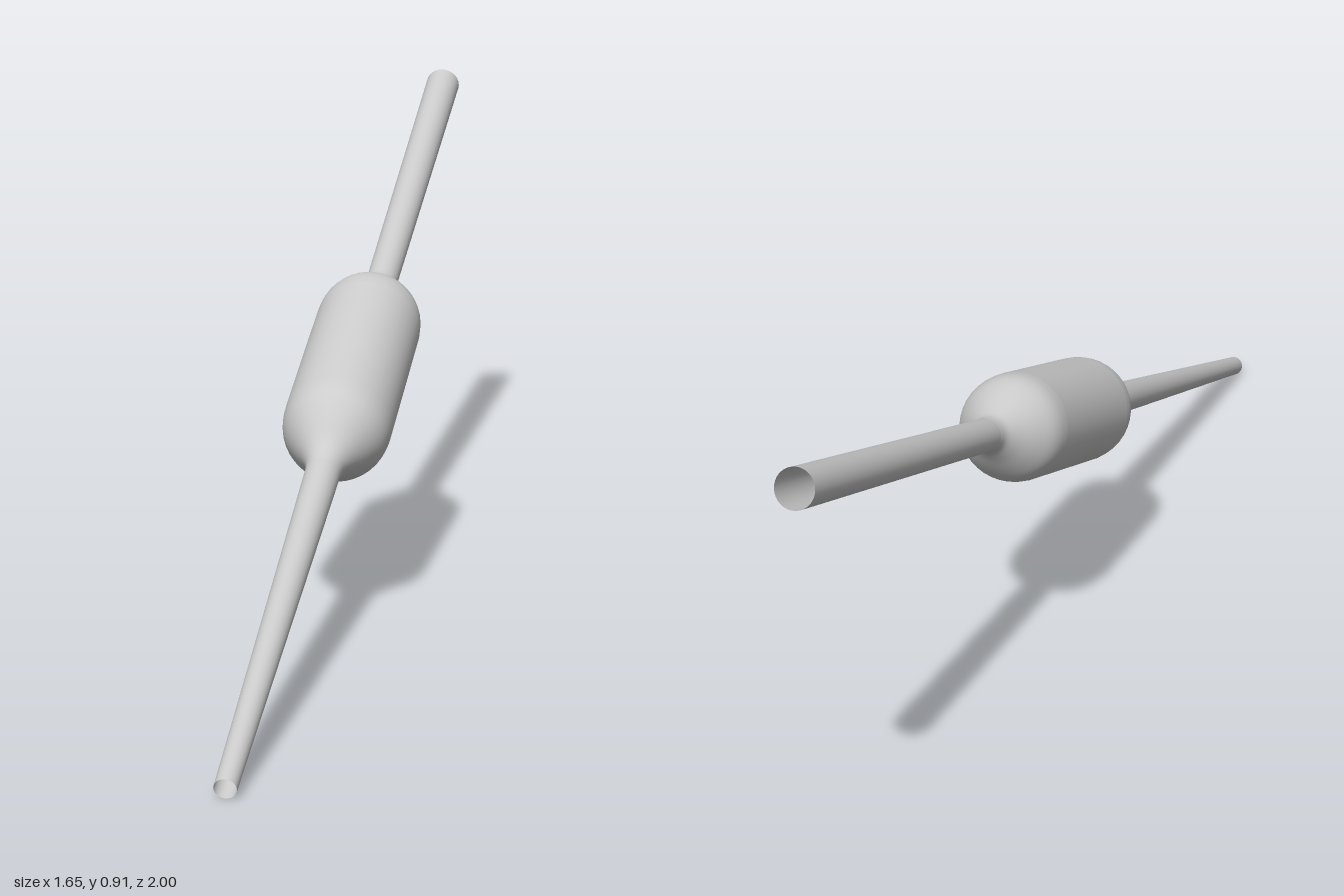
import * as THREE from 'three';

export function createModel() {
  const model = new THREE.Group();
  model.name = 'bulbedTube';
  const material = new THREE.MeshStandardMaterial({ color: 0xcccccc, side: THREE.DoubleSide });

  // Centre line of the whole tube
  const lowEnd = new THREE.Vector3(-0.81, 0.02, 0.986);
  const highEnd = new THREE.Vector3(0.797, 0.875, -0.975);
  const axis = highEnd.clone().sub(lowEnd);
  const half = axis.length() / 2;
  model.position.copy(lowEnd).add(highEnd).multiplyScalar(0.5);
  model.quaternion.setFromUnitVectors(new THREE.Vector3(0, 1, 0), axis.normalize());

  const addLathe = (name, points) => {
    const mesh = new THREE.Mesh(new THREE.LatheGeometry(points, 40), material);
    mesh.name = name;
    model.add(mesh);
  };
  const p = (radius, along) => new THREE.Vector2(radius, along);

  // Bulb: straight barrel between two S-curved shoulders
  const middle = 0.03, neckAt = 0.37;
  const shoulder = (neckRadius, side) => new THREE.SplineCurve([
    [neckRadius, neckAt], [neckRadius + 0.004, 0.345], [0.053, 0.318], [0.078, 0.283],
    [0.098, 0.25], [0.107, 0.222], [0.11, 0.19],
  ].map(([r, d]) => p(r, middle + side * d))).getPoints(24);
  addLathe('bulb', [...shoulder(0.035, -1), ...shoulder(0.033, 1).reverse()]);

  // Open stems, tapering from the necks
  addLathe('lowerStem', [p(0.021, -half), p(0.035, middle - neckAt)]);
  addLathe('upperStem', [p(0.033, middle + neckAt), p(0.038, half)]);

  const group = new THREE.Group();
  group.add(model);
  return group;
}
